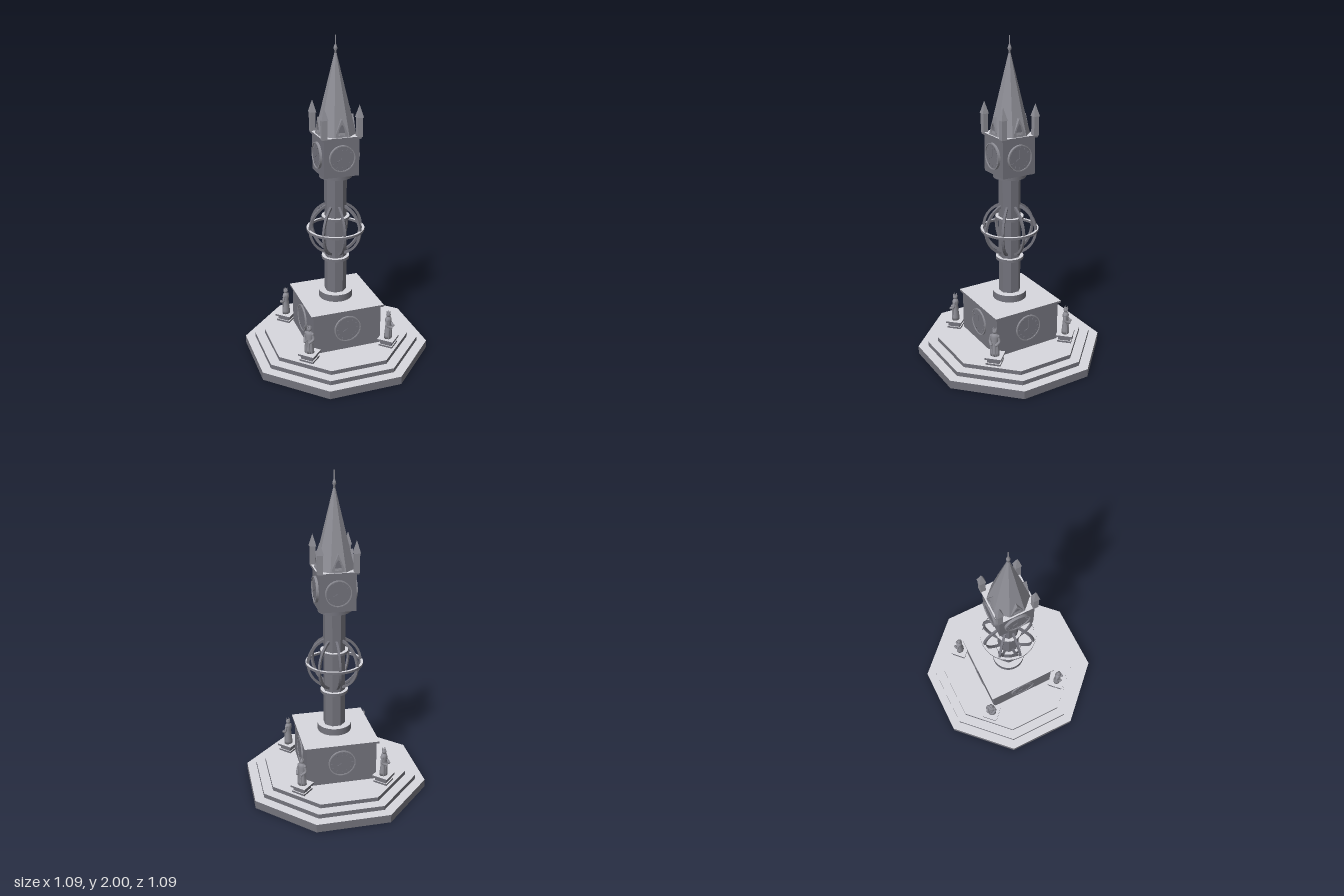
import * as THREE from 'three';

function paint(name, color) {
  const m = new THREE.MeshStandardMaterial({ color });
  m.name = name;
  return m;
}
const wall = paint('dark stone', 0x73737c);
const trim = paint('mid stone', 0x8d8d95);
const pale = paint('pale stone', 0xd7d7dd);

// dark sides and bottom with a pale upper face
const drumPaint = [wall, pale, wall];
const boxPaint = [wall, wall, pale, wall, wall, wall];

// faceted copy of a geometry, so edges stay sharp
function facet(g) {
  const f = g.index ? g.toNonIndexed() : g;
  f.computeVertexNormals();
  return f;
}

function add(parent, name, material, geometry, x = 0, y = 0, z = 0) {
  const m = new THREE.Mesh(geometry, material);
  m.name = name;
  m.position.set(x, y, z);
  parent.add(m);
  return m;
}

function box(parent, name, material, w, y0, y1, x = 0, z = 0) {
  return add(parent, name, material, new THREE.BoxGeometry(w, y1 - y0, w), x, (y0 + y1) / 2, z);
}

// regular prism or frustum measured by its flats, flats facing the axes
function prism(parent, name, material, a0, a1, y0, y1, sides = 8, x = 0, z = 0) {
  const k = 1 / Math.cos(Math.PI / sides);
  const g = new THREE.CylinderGeometry(a1 * k, a0 * k, y1 - y0, sides, 1, false, Math.PI / sides);
  return add(parent, name, material, facet(g), x, (y0 + y1) / 2, z);
}

function drum(parent, name, r, y0, y1) {
  return add(parent, name, drumPaint, new THREE.CylinderGeometry(r, r, y1 - y0, 40), 0, (y0 + y1) / 2, 0);
}

// flat hoop with a rectangular section
function hoop(ri, ro, h) {
  const p = [[ri, -h], [ro, -h], [ro, h], [ri, h], [ri, -h]].map(([x, y]) => new THREE.Vector2(x, y));
  return facet(new THREE.LatheGeometry(p, 56));
}

// clock dial facing +z, its back on z = 0
function clock(r, depth) {
  const g = new THREE.Group();
  g.name = 'clock';
  const disc = add(g, 'dial', wall, new THREE.CylinderGeometry(r * 0.94, r * 0.94, depth * 0.6, 40), 0, 0, depth * 0.3);
  disc.rotation.x = Math.PI / 2;
  const rim = add(g, 'dialRim', trim, hoop(r * 0.93, r, depth / 2), 0, 0, depth / 2);
  rim.rotation.x = Math.PI / 2;
  const z = depth * 0.6 + 0.001;
  for (let i = 0; i < 12; i++) {
    const a = (i * Math.PI) / 6;
    const t = add(g, 'hourMark', wall, new THREE.BoxGeometry(r * 0.05, r * 0.16, 0.004), Math.sin(a) * r * 0.76, Math.cos(a) * r * 0.76, z);
    t.rotation.z = -a;
  }
  for (const [a, l] of [[0, 0.62], [-2.1, 0.42]]) {
    const hand = add(g, 'hand', wall, new THREE.BoxGeometry(r * 0.06, r * l, 0.005), Math.sin(a) * r * l / 2, Math.cos(a) * r * l / 2, z);
    hand.rotation.z = -a;
  }
  return g;
}

// crowned robed figure on a stepped pedestal, facing +z
function statue() {
  const g = new THREE.Group();
  g.name = 'statue';
  box(g, 'pedestalFoot', boxPaint, 0.09, 0.105, 0.118);
  box(g, 'pedestalBody', wall, 0.076, 0.118, 0.143);
  box(g, 'pedestalCap', boxPaint, 0.103, 0.143, 0.155);
  const robe = [[0, 0], [0.03, 0], [0.029, 0.02], [0.023, 0.07], [0.021, 0.1], [0.025, 0.125], [0.02, 0.139], [0.008, 0.145], [0.008, 0.152]];
  const body = add(g, 'robe', trim, new THREE.LatheGeometry(robe.map(p => new THREE.Vector2(...p)), 20), 0, 0.155, 0);
  body.scale.z = 0.8;
  add(g, 'head', trim, new THREE.SphereGeometry(0.0145, 14, 10), 0, 0.315, 0).scale.y = 1.15;
  for (let i = 0; i < 6; i++) {
    const a = (i * Math.PI) / 3;
    add(g, 'crownPoint', trim, new THREE.ConeGeometry(0.004, 0.018, 5), Math.sin(a) * 0.011, 0.333, Math.cos(a) * 0.011);
  }
  for (const s of [-1, 1]) {
    const path = new THREE.CatmullRomCurve3([[0.022, 0.282, 0], [0.029, 0.25, 0.004], [0.017, 0.237, 0.026]].map(([x, y, z]) => new THREE.Vector3(s * x, y, z)));
    add(g, 'arm', trim, new THREE.TubeGeometry(path, 8, 0.008, 8));
    add(g, 'shoulder', trim, new THREE.SphereGeometry(0.01, 10, 8), s * 0.021, 0.283, 0);
    add(g, 'hand', trim, new THREE.SphereGeometry(0.009, 10, 8), s * 0.016, 0.237, 0.027);
    for (let i = 0; i < 2; i++) {
      add(g, 'robeFold', trim, new THREE.CylinderGeometry(0.003, 0.006, 0.09, 6), s * (0.008 + i * 0.013), 0.2, 0.018 - i * 0.006);
    }
  }
  return g;
}

// steep gable with a recessed pointed window, facing +z
function dormer() {
  const g = new THREE.Group();
  g.name = 'dormer';
  const outer = new THREE.Shape([[-0.036, 0], [0.036, 0], [0.036, 0.025], [0, 0.11], [-0.036, 0.025]].map(p => new THREE.Vector2(...p)));
  const hole = new THREE.Path();
  hole.moveTo(-0.02, 0.015);
  hole.lineTo(-0.02, 0.032);
  hole.quadraticCurveTo(-0.016, 0.06, 0, 0.078);
  hole.quadraticCurveTo(0.016, 0.06, 0.02, 0.032);
  hole.lineTo(0.02, 0.015);
  outer.holes.push(hole);
  add(g, 'gable', trim, new THREE.ExtrudeGeometry(outer, { depth: 0.053, bevelEnabled: false }), 0, 1.432, 0.058);
  const pane = new THREE.Shape([[-0.022, 0.012], [0.022, 0.012], [0.022, 0.034], [0, 0.082], [-0.022, 0.034]].map(p => new THREE.Vector2(...p)));
  add(g, 'window', wall, new THREE.ExtrudeGeometry(pane, { depth: 0.044, bevelEnabled: false }), 0, 1.432, 0.062);
  return g;
}

export function createModel() {
  const model = new THREE.Group();
  model.name = 'clockTower';

  // stepped octagonal base and square plinth
  prism(model, 'lowerStep', drumPaint, 0.545, 0.545, 0, 0.052);
  prism(model, 'middleStep', drumPaint, 0.487, 0.487, 0.052, 0.08);
  prism(model, 'upperStep', drumPaint, 0.428, 0.428, 0.08, 0.106);
  box(model, 'plinth', wall, 0.44, 0.106, 0.362);
  box(model, 'plinthCap', boxPaint, 0.47, 0.362, 0.375);

  // shaft with collars
  drum(model, 'shaftFoot', 0.106, 0.375, 0.42);
  prism(model, 'shaft', wall, 0.063, 0.063, 0.42, 1.17);
  drum(model, 'lowerCollar', 0.086, 0.636, 0.654);
  drum(model, 'upperCollar', 0.086, 0.902, 0.918);
  drum(model, 'headCollar', 0.1, 1.17, 1.205);

  // globe of hoops around the shaft
  const globe = new THREE.Group();
  globe.name = 'hoopGlobe';
  globe.position.y = 0.832;
  add(globe, 'equatorHoop', wall, hoop(0.163, 0.178, 0.007));
  add(globe, 'equatorTop', pale, new THREE.RingGeometry(0.163, 0.178, 56), 0, 0.0078, 0).rotation.x = -Math.PI / 2;
  for (let i = 0; i < 4; i++) {
    const turn = new THREE.Group();
    turn.name = 'meridian';
    turn.rotation.y = (i * Math.PI) / 4;
    add(turn, 'meridianHoop', wall, hoop(0.157, 0.172, 0.007)).rotation.x = Math.PI / 2;
    globe.add(turn);
  }
  model.add(globe);

  // clock room
  box(model, 'clockRoom', wall, 0.218, 1.195, 1.42);
  box(model, 'cornice', boxPaint, 0.242, 1.42, 1.434);

  // clocks and dormers on all four sides, statues and pinnacles on all corners
  for (let i = 0; i < 4; i++) {
    const side = new THREE.Group();
    side.name = 'side';
    side.rotation.y = (i * Math.PI) / 2;
    const low = clock(0.085, 0.01);
    low.position.set(0, 0.247, 0.22);
    const high = clock(0.079, 0.015);
    high.position.set(0, 1.31, 0.109);
    const figure = statue();
    figure.position.set(0.258, 0, 0.258);
    figure.rotation.y = Math.PI / 4;
    side.add(low, high, dormer(), figure);
    box(side, 'pinnacleShaft', trim, 0.032, 1.43, 1.545, 0.108, 0.108);
    prism(side, 'pinnacleTip', trim, 0.02, 0.0005, 1.545, 1.618, 4, 0.108, 0.108);
    model.add(side);
  }

  // spire and finial
  prism(model, 'spire', trim, 0.112, 0.004, 1.434, 1.91);
  const finial = [[0, 0], [0.007, 0], [0.005, 0.012], [0.012, 0.024], [0.01, 0.034], [0.004, 0.05], [0.003, 0.1], [0, 0.1]];
  add(model, 'finial', trim, new THREE.LatheGeometry(finial.map(p => new THREE.Vector2(...p)), 12), 0, 1.9, 0);
  return model;
}
